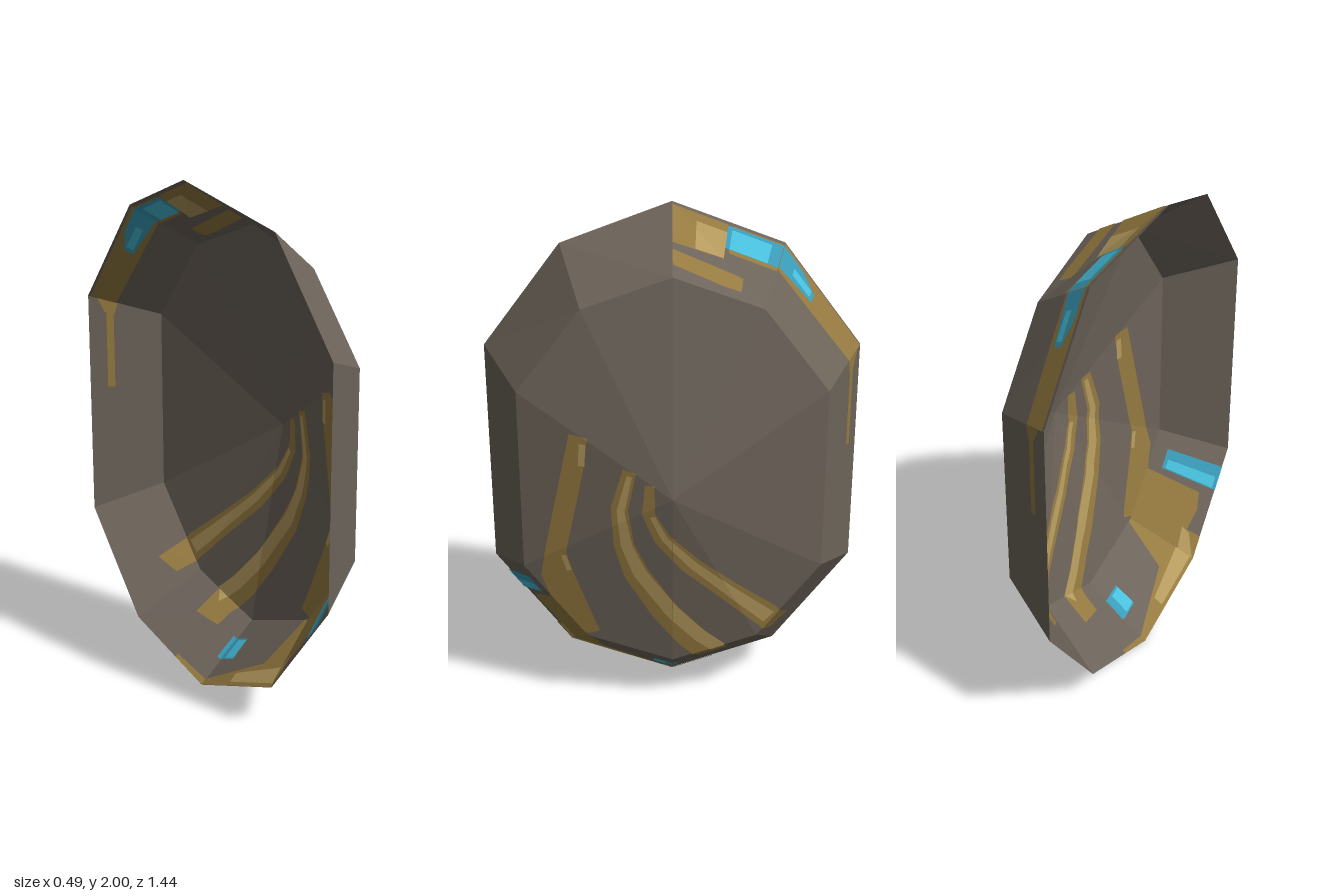
import * as THREE from 'three';

const mat = (name, color, side = THREE.FrontSide) => {
  const m = new THREE.MeshStandardMaterial({ color, side });
  m.name = name;
  return m;
};

// Half outlines of the ten-sided shield, as [x, y, z] from top to bottom
const outerHalf = [[-0.245, 2, 0], [-0.18, 1.86, 0.42], [-0.18, 1.46, 0.72], [-0.18, 0.55, 0.72], [-0.18, 0.15, 0.42], [-0.18, 0, 0]];
const innerHalf = [[0.083, 1.81, 0], [0.083, 1.69, 0.335], [0.083, 1.37, 0.58], [0.083, 0.64, 0.58], [0.083, 0.32, 0.335], [0.083, 0.205, 0]];
const ring = half => [...half, ...half.slice(1, -1).reverse().map(([x, y, z]) => [x, y, -z])].map(p => new THREE.Vector3(...p));
const outer = ring(outerHalf), inner = ring(innerHalf);
const apex = new THREE.Vector3(0.24, 1, 0);

// Positive when p lies inside edge a-b of a face turned towards +x
const side = (a, b, p) => (b.y - a.y) * (p.z - a.z) - (b.z - a.z) * (p.y - a.y);
const outward = t => (side(t[0], t[1], t[2]) < 0 ? [t[0], t[2], t[1]] : t);

function meshOf(triangles, material, name) {
  const g = new THREE.BufferGeometry().setFromPoints(triangles.flat());
  g.computeVertexNormals();
  const m = new THREE.Mesh(g, material);
  m.name = name;
  return m;
}

// Facets of the domed centre and the sloping rim
const dome = [], rim = [];
for (let i = 0; i < 10; i++) {
  const j = (i + 1) % 10;
  dome.push(outward([apex, inner[i], inner[j]]));
  rim.push(outward([inner[i], outer[i], outer[j]]), outward([inner[i], outer[j], inner[j]]));
}
const facets = [...dome, ...rim];

// Cut a convex [z, y] polygon to one facet and lay it on that facet's plane
function clipTo(facet, poly) {
  let pts = poly;
  for (let e = 0; e < 3 && pts.length; e++) {
    const a = facet[e], b = facet[(e + 1) % 3], next = [];
    pts.forEach((p, i) => {
      const q = pts[(i + 1) % pts.length], sp = side(a, b, p), sq = side(a, b, q);
      if (sp >= 0) next.push(p);
      if (sp * sq < 0) next.push(p.clone().lerp(q, sp / (sp - sq)));
    });
    pts = next;
  }
  return pts;
}

// Painted plate on both faces of the shell, following every facet it crosses
function paint(polys, material, name, lift) {
  const tris = [], n = new THREE.Vector3();
  for (const poly of polys) {
    const flat = poly.map(([z, y]) => new THREE.Vector3(0, y, z));
    for (const f of facets) {
      const pts = clipTo(f, flat);
      if (pts.length < 3) continue;
      new THREE.Triangle(...f).getNormal(n);
      const lay = (p, d) => new THREE.Vector3(
        f[0].x - (n.y * (p.y - f[0].y) + n.z * (p.z - f[0].z)) / n.x, p.y, p.z).addScaledVector(n, d);
      for (let i = 1; i < pts.length - 1; i++) {
        const t = outward([pts[0], pts[i], pts[i + 1]]);
        if (Math.abs(side(...t)) < 1e-8) continue;
        tris.push(t.map(p => lay(p, lift)), t.map(p => lay(p, -lift)).reverse());
      }
    }
  }
  return meshOf(tris, material, name);
}

// Ribbon of quads along [z, y, width] points
function stroke(path) {
  const sides = path.map(([z, y, w], i) => {
    const a = path[Math.max(i - 1, 0)], b = path[Math.min(i + 1, path.length - 1)];
    const dz = b[0] - a[0], dy = b[1] - a[1], k = w / 2 / Math.hypot(dz, dy);
    return [[z - dy * k, y + dz * k], [z + dy * k, y - dz * k]];
  });
  return sides.slice(1).map((s, i) => [sides[i][0], sides[i][1], s[1], s[0]]);
}

// Polygon on rim panel i: u runs along the panel, v from inner to outer edge
function panel(i, uv) {
  const j = (i + 1) % 10;
  return uv.map(([u, v]) => {
    const p = inner[i].clone().lerp(inner[j], u).lerp(outer[i].clone().lerp(outer[j], u), v);
    return [p.z, p.y];
  });
}
const patch = (i, u0, u1, v0, v1) => panel(i, [[u0, v0], [u1, v0], [u1, v1], [u0, v1]]);

export function createModel() {
  const group = new THREE.Group();
  group.name = 'shield';
  const metal = mat('dull metal', 0x6d645a, THREE.DoubleSide);
  const gold = mat('dark gold', 0x957a40);
  const paleGold = mat('pale gold', 0xb59a5e);
  const blue = mat('blue', 0x3a9cba);
  const paleBlue = mat('pale blue', 0x48c0dc);

  group.add(meshOf(dome, metal, 'dome'), meshOf(rim, metal, 'rim'));

  // Curved bands sweeping down the dome
  group.add(paint([
    ...stroke([[0.35, 1.22, 0.07], [0.375, 1.08, 0.08], [0.45, 0.73, 0.08], [0.45, 0.62, 0.13], [0.35, 0.33, 0.13]]),
    ...stroke([[0.16, 1.1, 0.05], [0.2, 0.94, 0.065], [0.185, 0.78, 0.08], [0.14, 0.65, 0.1], [0.03, 0.46, 0.11], [-0.07, 0.33, 0.12], [-0.15, 0.25, 0.13], [-0.165, 0.185, 0.12]]),
    ...stroke([[0.085, 1.05, 0.035], [0.09, 0.93, 0.05], [0.04, 0.82, 0.065], [-0.07, 0.69, 0.08], [-0.23, 0.545, 0.09], [-0.37, 0.42, 0.11], [-0.43, 0.34, 0.09]]),
  ], gold, 'domeBands', 0.003));
  group.add(paint([
    ...stroke([[0.335, 1.19, 0.025], [0.34, 1.1, 0.025]]),
    ...stroke([[0.42, 0.71, 0.02], [0.4, 0.64, 0.02]]),
    ...stroke([[0.16, 1.08, 0.02], [0.195, 0.93, 0.03], [0.175, 0.78, 0.045], [0.125, 0.65, 0.055], [0, 0.46, 0.06], [-0.11, 0.33, 0.06], [-0.19, 0.26, 0.06]]),
    ...stroke([[0.075, 0.92, 0.02], [0.03, 0.82, 0.025], [-0.08, 0.69, 0.035], [-0.24, 0.54, 0.045], [-0.38, 0.41, 0.06]]),
  ], paleGold, 'domeBandHighlights', 0.005));

  // Stains on the rim panels
  group.add(paint([
    panel(3, [[0.43, 0], [0.45, 0.8], [0.6, 0.85], [1, 0.75], [1, 0]]),
    patch(3, 0.8, 1, 0.7, 1),
    panel(4, [[0, 0], [0.05, 0], [0.3, 0.7], [0.35, 1], [0, 1]]),
    panel(4, [[0.25, 0.65], [1, 0.92], [1, 1], [0.25, 1]]),
    panel(5, [[0, 0.92], [0.4, 0.95], [0.4, 1], [0, 1]]),
    patch(9, 0.5, 1, 0.45, 0.95),
    panel(9, [[0.28, 0.1], [0.45, 0.1], [1, 0.16], [1, 0.36], [0.28, 0.28]]),
    patch(9, 0, 0.46, 0.55, 0.95),
    panel(8, [[0, 0.62], [1, 0.58], [1, 0.97], [0, 0.97]]),
    panel(7, [[0.94, 0.65], [1, 0.6], [1, 0.88], [0.94, 0.78]]),
    patch(7, 0.58, 0.95, 0.66, 0.76),
  ], gold, 'rimStains', 0.003));
  group.add(paint([
    panel(3, [[0.8, 0.72], [0.82, 0.84], [1, 0.98], [1, 0.75]]),
    panel(4, [[0, 0.72], [0, 0.95], [0.6, 0.95], [0.6, 0.82]]),
    patch(9, 0.5, 0.78, 0.45, 0.83),
  ], paleGold, 'rimStainHighlights', 0.005));

  // Blue marks on the rim
  group.add(paint([
    panel(3, [[0.17, 0.2], [0.17, 1], [0.38, 1], [0.37, 0.2]]),
    patch(4, 0.8, 1, 0.3, 0.62),
    patch(5, 0, 0.05, 0.3, 0.62),
    patch(9, 0, 0.5, 0.6, 0.93),
    panel(8, [[1, 0.62], [1, 0.93], [0.75, 0.92], [0.58, 0.82], [0.58, 0.7]]),
  ], blue, 'blueMarks', 0.005));
  group.add(paint([
    panel(3, [[0.27, 0.25], [0.27, 0.95], [0.37, 0.95], [0.36, 0.25]]),
    patch(4, 0.8, 0.93, 0.33, 0.6),
    patch(9, 0.1, 0.46, 0.6, 0.88),
    patch(8, 0.62, 0.85, 0.72, 0.82),
  ], paleBlue, 'blueMarkHighlights', 0.007));
  return group;
}
